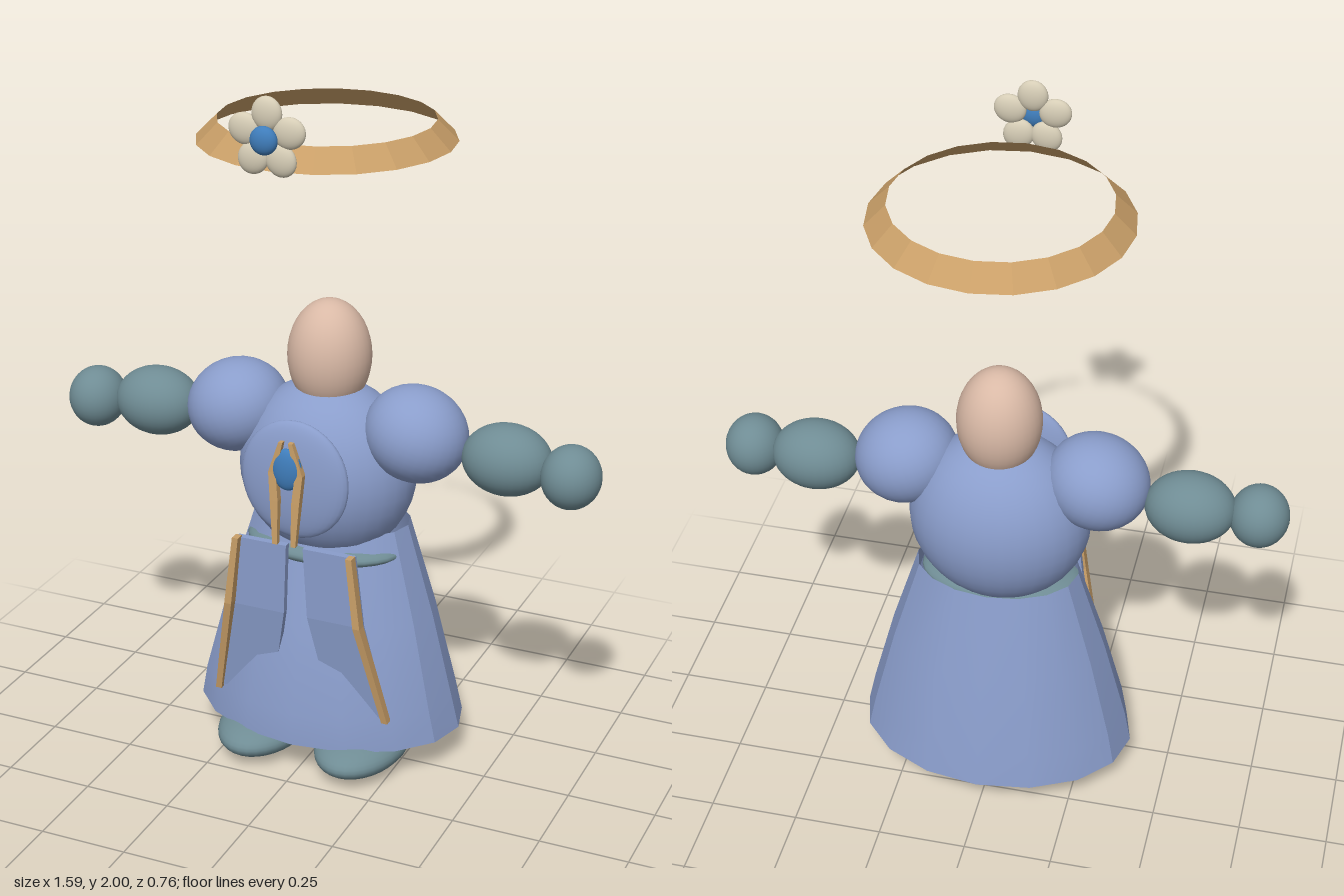
import * as THREE from 'three';
import { toCreasedNormals } from 'three/addons/utils/BufferGeometryUtils.js';

const paint = (color) => new THREE.MeshStandardMaterial({ color });
const ROBE = paint(0x8a9dcb), TEAL = paint(0x6f8c94), SKIN = paint(0xd9b9a6);
const GOLD = paint(0xc99f68), PETAL = paint(0xd6cdb6), GEM = paint(0x3f7dbb);
const ROBE_OPEN = paint(0x8a9dcb), GOLD_OPEN = paint(0xc99f68);
ROBE_OPEN.side = GOLD_OPEN.side = THREE.DoubleSide;

const ball = new THREE.SphereGeometry(1, 32, 20);

function add(parent, name, geometry, material) {
  const mesh = new THREE.Mesh(geometry, material);
  mesh.name = name;
  parent.add(mesh);
  return mesh;
}

function ellipsoid(parent, name, material, center, radii) {
  const mesh = add(parent, name, ball, material);
  mesh.position.set(...center);
  mesh.scale.set(...radii);
  return mesh;
}

// Bar lofted from the top down through rows of [xInner, xOuter, y, zFront, zBack]
function slab(rows) {
  const points = rows.flatMap(([a, b, y, f, k]) => [a, y, f, b, y, f, b, y, k, a, y, k]);
  const index = [0, 1, 2, 0, 2, 3];
  for (let i = 0; i < rows.length - 1; i++) {
    for (let j = 0; j < 4; j++) {
      const n = (j + 1) % 4, p = i * 4, q = p + 4;
      index.push(p + j, q + j, q + n, p + j, q + n, p + n);
    }
  }
  const e = (rows.length - 1) * 4;
  index.push(e, e + 2, e + 1, e, e + 3, e + 2);
  const geometry = new THREE.BufferGeometry();
  geometry.setAttribute('position', new THREE.Float32BufferAttribute(points, 3));
  geometry.setIndex(index);
  const flat = geometry.toNonIndexed();
  flat.computeVertexNormals();
  return flat;
}

// Flared skirt from oval sections [y, half width, back z, front z]
function skirtGeometry() {
  const sections = [
    [0.105, 0.395, -0.35, 0.215], [0.2, 0.375, -0.335, 0.213],
    [0.45, 0.31, -0.285, 0.155], [0.71, 0.23, -0.225, 0.085],
  ];
  const sides = 16;
  const geometry = new THREE.CylinderGeometry(1, 1, 1, sides, sections.length - 1, true);
  const pos = geometry.attributes.position;
  for (let i = 0; i < pos.count; i++) {
    const row = sections.length - 1 - Math.floor(i / (sides + 1));
    const [y, w, back, front] = sections[row];
    pos.setXYZ(i, pos.getX(i) * w, y, (front + back) / 2 + pos.getZ(i) * (front - back) / 2);
  }
  return toCreasedNormals(geometry, 0.42);
}

// Arm, leg and coat front of one side
function createSide(name, sign) {
  const side = new THREE.Group();
  side.name = name;
  side.scale.x = sign;

  const shoulder = ellipsoid(side, 'shoulder', ROBE, [0.267, 1.01, -0.025], [0.146, 0.132, 0.138]);
  shoulder.rotation.z = -0.35;
  ellipsoid(side, 'forearm', TEAL, [0.525, 0.975, -0.035], [0.125, 0.099, 0.1]);
  ellipsoid(side, 'hand', TEAL, [0.711, 0.964, -0.017], [0.082, 0.088, 0.086]);
  ellipsoid(side, 'leg', TEAL, [0.15, 0.27, 0], [0.1, 0.19, 0.1]);
  ellipsoid(side, 'foot', TEAL, [0.151, 0.068, 0.05], [0.128, 0.063, 0.2]);

  add(side, 'coatFront', slab([
    [0.025, 0.175, 0.71, 0.19, 0.17],
    [0.035, 0.198, 0.5, 0.185, 0.165],
    [0.09, 0.255, 0.21, 0.145, 0.125],
  ]), ROBE);
  add(side, 'coatTrim', slab([
    [0.16, 0.178, 0.715, 0.212, 0.185],
    [0.183, 0.204, 0.51, 0.214, 0.185],
    [0.247, 0.265, 0.2, 0.155, 0.13],
  ]), GOLD);
  add(side, 'chestClasp', slab([
    [0.008, 0.02, 1.04, 0.245, 0.23],
    [0.028, 0.05, 0.95, 0.246, 0.226],
    [0.02, 0.043, 0.87, 0.252, 0.23],
    [0.02, 0.034, 0.745, 0.258, 0.243],
  ]), GOLD);
  return side;
}

export function createModel() {
  const model = new THREE.Group();
  model.name = 'robedFigure';

  // Body
  ellipsoid(model, 'head', SKIN, [0, 1.19, -0.05], [0.117, 0.16, 0.114]);
  ellipsoid(model, 'torso', ROBE, [0, 0.865, -0.04], [0.255, 0.26, 0.2]);
  ellipsoid(model, 'hips', TEAL, [0, 0.642, -0.02], [0.23, 0.042, 0.14]);
  add(model, 'skirt', skirtGeometry(), ROBE_OPEN);

  // Chest plate with gem
  ellipsoid(model, 'chestPlate', ROBE, [0, 0.91, 0.182], [0.157, 0.171, 0.037]);
  ellipsoid(model, 'chestGem', GEM, [0, 0.96, 0.234], [0.044, 0.06, 0.02]);

  model.add(createSide('leftSide', 1), createSide('rightSide', -1));

  // Floating ring
  const ring = add(model, 'halo', toCreasedNormals(
    new THREE.CylinderGeometry(0.29, 0.347, 0.057, 20, 1, true), 0.2), GOLD_OPEN);
  ring.position.set(0, 1.833, -0.03);

  // Flower on the ring
  const flower = new THREE.Group();
  flower.name = 'flower';
  flower.position.set(0, 1.895, 0.338);
  model.add(flower);
  for (let i = 0; i < 5; i++) {
    const a = Math.PI / 2 + i * Math.PI * 2 / 5;
    const petal = ellipsoid(flower, 'petal', PETAL,
      [Math.cos(a) * 0.064, Math.sin(a) * 0.064, 0], [0.041, 0.044, 0.019]);
    petal.rotation.z = a - Math.PI / 2;
  }
  ellipsoid(flower, 'flowerCenter', GEM, [0, 0, 0.02], [0.037, 0.037, 0.022]);

  return model;
}
